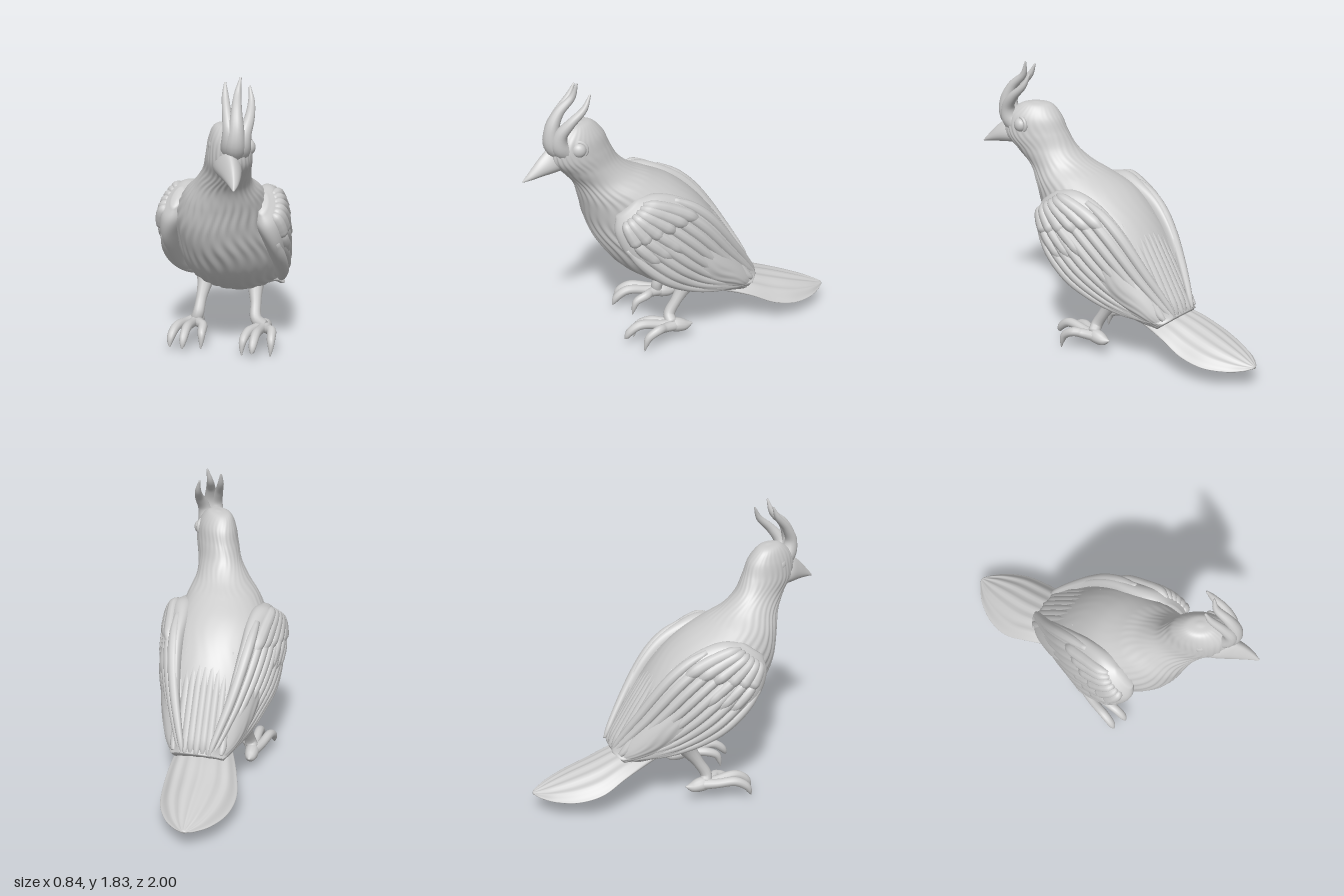
import * as THREE from 'three';

const V = (x, y, z) => new THREE.Vector3(x, y, z);
const grey = new THREE.MeshStandardMaterial({ color: 0xcccccc, side: THREE.DoubleSide });

// Closed smooth skin from a rule fn(angle, t), capped at both ends and wound outwards
function skin(name, fn, nu, nv) {
  const pos = [], idx = [];
  for (let j = 0; j <= nv; j++)
    for (let i = 0; i < nu; i++) pos.push(...fn((i / nu) * Math.PI * 2, j / nv).toArray());
  for (let j = 0; j < nv; j++)
    for (let i = 0; i < nu; i++) {
      const a = j * nu + i, b = j * nu + (i + 1) % nu;
      idx.push(a, b, a + nu, b, b + nu, a + nu);
    }
  for (const j of [0, nv]) {
    const c = V(0, 0, 0), n = pos.length / 3;
    for (let i = 0; i < nu; i++) c.add(V().fromArray(pos, (j * nu + i) * 3));
    pos.push(...c.divideScalar(nu).toArray());
    for (let i = 0; i < nu; i++) {
      const a = j * nu + i, b = j * nu + (i + 1) % nu;
      idx.push(...(j ? [a, b, n] : [b, a, n]));
    }
  }
  let volume = 0;
  for (let k = 0; k < idx.length; k += 3) {
    const [a, b, c] = [0, 1, 2].map(m => V().fromArray(pos, idx[k + m] * 3));
    volume += a.dot(b.cross(c));
  }
  if (volume < 0) idx.reverse();
  const g = new THREE.BufferGeometry();
  g.setAttribute('position', new THREE.Float32BufferAttribute(pos, 3));
  g.setIndex(idx);
  g.computeVertexNormals();
  const mesh = new THREE.Mesh(g, grey);
  mesh.name = name;
  return mesh;
}

// Elliptical loft rule; section = [back xyz, front xyz, half width, sideways droop]
function loft(sections, ridge = () => 0) {
  const curve = f => new THREE.CatmullRomCurve3(sections.map(f), false, 'catmullrom');
  const A = curve(s => V(s[0], s[1], s[2])), B = curve(s => V(s[3], s[4], s[5]));
  const W = curve(s => V(s[6], s[7] || 0, 0));
  return (u, t) => {
    const a = A.getPoint(t), b = B.getPoint(t), w = W.getPoint(t);
    const half = a.clone().sub(b).multiplyScalar(0.5);
    const k = 1 + ridge(u, t), s = Math.sin(u);
    const p = a.add(b).multiplyScalar(0.5).addScaledVector(half, Math.cos(u) * k);
    p.x += s * w.x * k;
    p.y -= s * s * w.y;
    return p;
  };
}

// Tapered tube through points [x, y, z, radius]
function taper(name, pts, nu = 12, nv = 24) {
  const path = new THREE.CatmullRomCurve3(pts.map(p => V(p[0], p[1], p[2])));
  const rad = new THREE.CatmullRomCurve3(pts.map((p, i) => V(p[3], i, 0)), false, 'catmullrom');
  const fr = path.computeFrenetFrames(nv);
  return skin(name, (u, t) => {
    const j = Math.round(t * nv), r = Math.max(rad.getPoint(path.getUtoTmapping(t)).x, 0.002);
    return path.getPointAt(t).addScaledVector(fr.normals[j], Math.cos(u) * r)
      .addScaledVector(fr.binormals[j], Math.sin(u) * r);
  }, nu, nv);
}

function makeWing(side) {
  const wing = new THREE.Group();
  wing.name = side > 0 ? 'leftWing' : 'rightWing';
  const face = loft([
    [0.26, 1.08, 0.33, 0.27, 0.99, 0.45, 0.03],
    [0.25, 1.10, 0.20, 0.30, 0.89, 0.465, 0.09],
    [0.23, 1.06, 0.06, 0.335, 0.77, 0.415, 0.095],
    [0.22, 0.98, -0.08, 0.345, 0.65, 0.32, 0.085],
    [0.20, 0.86, -0.20, 0.345, 0.54, 0.20, 0.075],
    [0.17, 0.70, -0.31, 0.31, 0.45, 0.06, 0.06],
    [0.13, 0.55, -0.405, 0.27, 0.385, -0.12, 0.045],
    [0.10, 0.43, -0.47, 0.21, 0.35, -0.32, 0.03],
    [0.10, 0.38, -0.49, 0.17, 0.35, -0.45, 0.01],
  ].map(s => s.map((n, i) => (i % 3 ? n : n * side))));
  wing.add(skin('wingBase', face, 64, 48));
  // Feather lying on the outer face, from (angle, t) to (angle, t), partly sunk
  const feather = (name, u0, t0, u1, t1, radii, sink) => {
    const last = radii.length - 1;
    wing.add(taper(name, radii.map((r, n) => {
      const p = face(u0 + (u1 - u0) * n / last, t0 + (t1 - t0) * n / last);
      return [p.x - side * sink, p.y, p.z, r];
    }), 10, 28));
  };
  // Long flight feathers sweeping to the wing tip
  for (let i = 0; i < 9; i++) {
    const f = i / 8, u = Math.acos(0.9 - 1.77 * f);
    feather('flightFeather', u, 0.24, u, 0.975 - 0.07 * f,
      [0.02, 0.033, 0.036, 0.034, 0.03, 0.024, 0.018, 0.008], 0.02);
  }
  // Covert feathers fanning from the shoulder, with a few longer ones in front below
  for (let i = 0; i < 6; i++) {
    const f = i / 5, u = 0.75 + f * 1.45;
    feather('covertFeather', u * 0.75 + 0.36, 0.08, u, 0.42 - f * 0.15,
      [0.015, 0.034, 0.04, 0.042, 0.043, 0.04, 0.012], 0.014);
    if (i > 2) feather('lowerCovertFeather', u, 0.22, u, 0.53 - f * 0.11,
      [0.02, 0.035, 0.04, 0.04, 0.036, 0.014], 0.016);
  }
  return wing;
}

// toes = [sideways offset, claw tip y, claw tip z, knuckle y]
function makeLeg(name, hipX, ankleX, footX, toes) {
  const leg = new THREE.Group();
  leg.name = name;
  leg.add(taper('shank', [[hipX, 0.44, -0.06, 0.075], [hipX, 0.36, -0.01, 0.052],
    [(hipX + ankleX) / 2, 0.27, 0.05, 0.036], [ankleX, 0.18, 0.10, 0.038], [footX, 0.135, 0.09, 0.04]]));
  // Three forward toes, each ending in a down-curved claw
  for (const [dx, y, z, knuckle] of toes)
    leg.add(taper('toe', [[footX, 0.125, 0.05, 0.038], [footX + dx * 0.5, 0.135, 0.15, 0.03],
      [footX + dx * 0.85, knuckle, z - 0.1, 0.03], [footX + dx, 0.105, z - 0.03, 0.026],
      [footX + dx * 1.04, 0.055 + y * 0.3, z - 0.01, 0.016], [footX + dx * 1.02, y, z, 0.003]]));
  leg.add(taper('hindToe', [[footX, 0.13, 0.14, 0.03], [footX, 0.125, 0.07, 0.046],
    [footX, 0.115, 0.005, 0.036], [footX, 0.122, -0.045, 0.004]]));
  return leg;
}

export function createModel() {
  const bird = new THREE.Group();
  bird.name = 'bird';

  // Head, neck and body in one skin, streaked with feathers on the breast
  const streak = (u, t) => {
    const breast = 0.35 + 0.65 * Math.min(1, Math.max(0, 0.5 - Math.cos(u)));
    const plain = t > 0.45 && Math.cos(u) > 0.5 ? 0.2 : 1;
    return 0.014 * breast * plain * Math.min(1, t * 5) * Math.sin(u * 28 + 2.4 * Math.sin(t * 30 + Math.sin(u * 3)));
  };
  const trunk = loft([
    [0.12, 1.574, 0.62, 0.13, 1.574, 0.65, 0.012],
    [0.09, 1.555, 0.55, 0.15, 1.558, 0.73, 0.078],
    [0.08, 1.485, 0.485, 0.18, 1.48, 0.81, 0.122],
    [0.07, 1.39, 0.445, 0.18, 1.36, 0.82, 0.14],
    [0.05, 1.29, 0.39, 0.14, 1.26, 0.745, 0.146],
    [0.03, 1.21, 0.30, 0.08, 1.16, 0.68, 0.175],
    [0.02, 1.15, 0.18, 0.03, 1.03, 0.645, 0.235],
    [0, 1.07, 0.03, 0, 0.88, 0.61, 0.28],
    [0, 0.965, -0.10, 0, 0.72, 0.54, 0.305],
    [0, 0.835, -0.21, 0, 0.55, 0.41, 0.32],
    [0, 0.68, -0.305, 0, 0.42, 0.22, 0.31],
    [0, 0.55, -0.385, 0, 0.335, 0.0, 0.27],
    [0, 0.44, -0.445, 0, 0.295, -0.2, 0.22],
    [0, 0.37, -0.48, 0, 0.265, -0.36, 0.16],
  ], streak);
  bird.add(skin('body', (u, t) => {
    // The back is broader and flatter than the breast
    const p = trunk(u, t);
    p.x *= 1 + 0.22 * Math.max(0, Math.cos(u)) * THREE.MathUtils.smoothstep(t, 0.4, 0.6);
    return p;
  }, 160, 110));

  // Long feathers covering the rump between the wings
  for (let i = -4; i <= 4; i++) {
    const x = i * 0.038, d = x * x, tip = i % 2 ? 0.01 : 0;
    bird.add(taper('rumpFeather', [[x * 0.95, 0.94 - d, -0.10, 0.01], [x, 0.81 - d, -0.2 + d, 0.026],
      [x, 0.67 - d, -0.29 + d, 0.03], [x, 0.54 - d, -0.37 + d, 0.03],
      [x, 0.43 - d, -0.435 + d, 0.03], [x, 0.375, -0.475 + tip + d, 0.014]], 10, 24));
  }

  bird.add(makeWing(1), makeWing(-1));

  // Broad arched tail with raised quills
  const tail = loft([
    [0, 0.38, -0.15, 0, 0.30, -0.15, 0.14, 0],
    [-0.02, 0.37, -0.30, -0.02, 0.28, -0.30, 0.18, 0.02],
    [-0.04, 0.345, -0.45, -0.04, 0.28, -0.45, 0.215, 0.055],
    [-0.055, 0.298, -0.60, -0.055, 0.24, -0.60, 0.235, 0.08],
    [-0.055, 0.25, -0.75, -0.055, 0.205, -0.75, 0.212, 0.075],
    [-0.055, 0.205, -0.88, -0.055, 0.17, -0.88, 0.145, 0.045],
    [-0.055, 0.174, -0.96, -0.055, 0.145, -0.96, 0.07, 0.015],
    [-0.055, 0.16, -1.0, -0.055, 0.145, -1.0, 0.015, 0],
  ]);
  bird.add(skin('tail', (u, t) => {
    const p = tail(u, t);
    p.y += 0.007 * Math.cos(Math.sin(u) * 17) * Math.sin(Math.PI * t);
    return p;
  }, 80, 40));

  // Beak, wider along its lower edge
  const beak = loft([
    [0.13, 1.45, 0.72, 0.12, 1.29, 0.72, 0.07],
    [0.17, 1.45, 0.81, 0.16, 1.283, 0.79, 0.075],
    [0.208, 1.40, 0.885, 0.20, 1.28, 0.87, 0.055],
    [0.235, 1.332, 0.95, 0.235, 1.272, 0.95, 0.028],
    [0.25, 1.275, 1.0, 0.25, 1.265, 1.0, 0.005],
  ]);
  bird.add(skin('beak', (u, t) => {
    const p = beak(u, t);
    p.x -= 0.04 * (1 - t) * Math.sin(u) * Math.cos(u);
    return p;
  }, 28, 24));

  // Eyes set in low lids
  for (const [x, y, z, turn] of [[0.055, 1.445, 0.69, -1.0], [0.252, 1.44, 0.66, 1.4]]) {
    const eye = new THREE.Group();
    eye.name = 'eye';
    const ball = new THREE.Mesh(new THREE.SphereGeometry(0.045, 24, 16), grey);
    const lid = new THREE.Mesh(new THREE.TorusGeometry(0.048, 0.012, 10, 28), grey);
    ball.name = 'eyeball';
    ball.scale.z = 0.8;
    lid.name = 'eyelid';
    lid.position.z = -0.008;
    eye.add(ball, lid);
    eye.position.set(x, y, z);
    eye.rotation.y = turn;
    bird.add(eye);
  }

  // Three curling crest plumes rooted in the brow
  [
    [[0.15, 1.39, 0.70, 0.05], [0.175, 1.47, 0.79, 0.055], [0.175, 1.56, 0.81, 0.04], [0.15, 1.65, 0.765, 0.028], [0.12, 1.74, 0.69, 0.02], [0.11, 1.81, 0.655, 0.006]],
    [[0.18, 1.39, 0.70, 0.05], [0.205, 1.465, 0.80, 0.06], [0.215, 1.57, 0.81, 0.046], [0.205, 1.67, 0.765, 0.032], [0.19, 1.755, 0.68, 0.021], [0.2, 1.84, 0.65, 0.006]],
    [[0.20, 1.39, 0.68, 0.05], [0.23, 1.46, 0.765, 0.058], [0.25, 1.54, 0.765, 0.042], [0.265, 1.62, 0.705, 0.03], [0.255, 1.70, 0.62, 0.02], [0.235, 1.78, 0.58, 0.006]],
  ].forEach(p => bird.add(taper('crestPlume', p, 14, 28)));

  bird.add(
    makeLeg('leftLeg', 0.13, 0.16, 0.205, [[-0.08, 0.015, 0.33, 0.135], [0, 0.06, 0.40, 0.15], [0.09, 0.01, 0.29, 0.145]]),
    makeLeg('rightLeg', -0.21, -0.225, -0.245, [[-0.088, 0.04, 0.37, 0.145], [0, 0.05, 0.40, 0.15], [0.085, 0.01, 0.28, 0.135]]));
  return bird;
}
